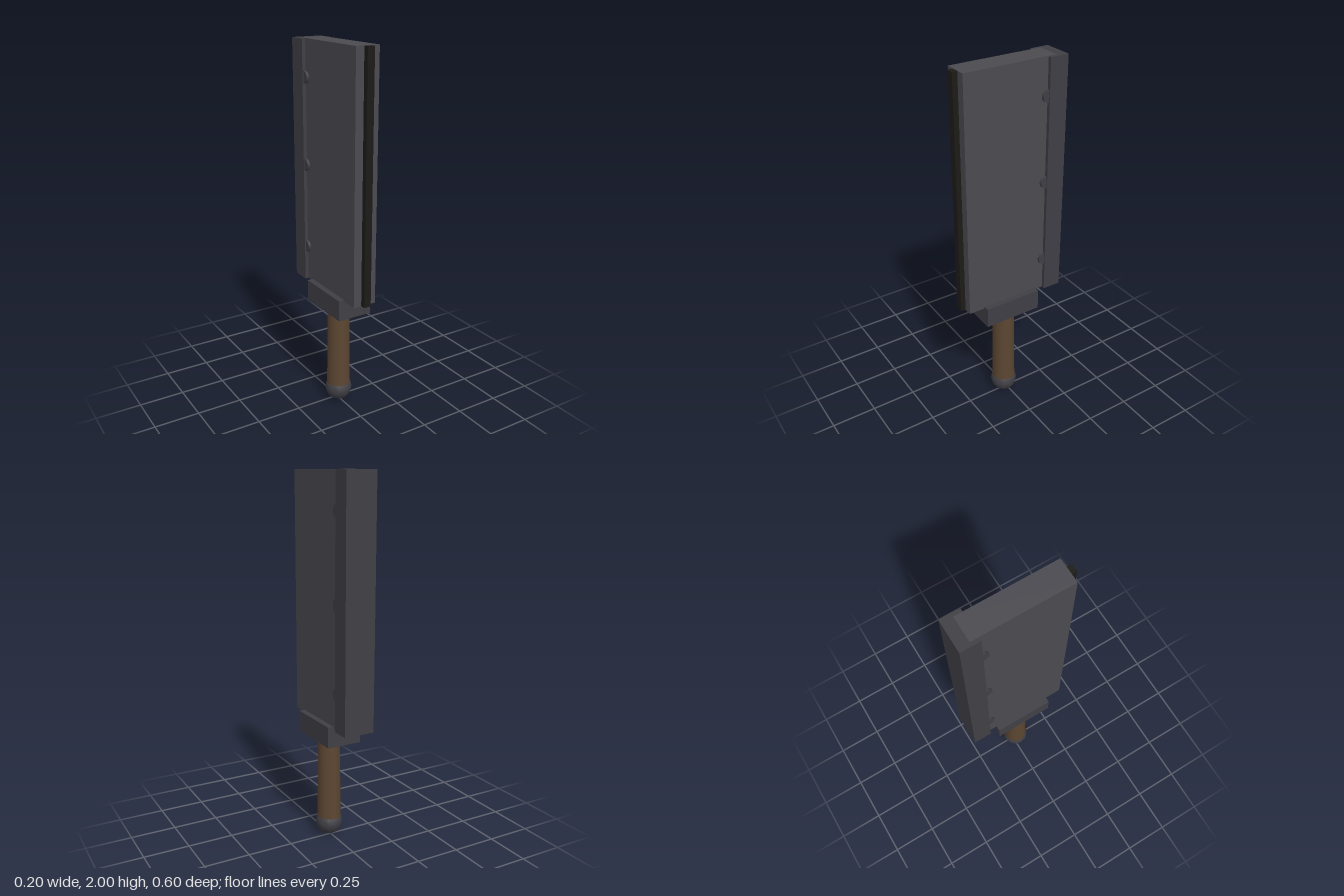
import * as THREE from 'three';

export function createModel() {
  const root = new THREE.Group();
  const mat = (color) => new THREE.MeshStandardMaterial({ color });
  const steel = mat(0x4a4a50), darkSteel = mat(0x3f3f45), edgeBlack = mat(0x1c1b18), wood = mat(0x5c4632);

  function add(name, geometry, material, x, y, z) {
    const mesh = new THREE.Mesh(geometry, material);
    mesh.name = name;
    mesh.position.set(x, y, z);
    root.add(mesh);
    return mesh;
  }
  // box given by full width and its y and z ranges
  const addBox = (name, material, w, y0, y1, z0, z1) =>
    add(name, new THREE.BoxGeometry(w, y1 - y0, z1 - z0), material, 0, (y0 + y1) / 2, (z0 + z1) / 2);

  // slab blade with a dark cutting strip in front and a thick spine behind
  addBox('blade', steel, 0.132, 0.685, 2, -0.242, 0.272);
  addBox('cuttingEdge', edgeBlack, 0.04, 0.686, 1.999, 0.26, 0.3);
  addBox('spine', darkSteel, 0.17, 0.684, 1.998, -0.3, -0.197);

  // rivets running through blade and spine
  for (const y of [0.88, 1.343, 1.805]) {
    const rivet = add('rivet', new THREE.CylinderGeometry(0.033, 0.033, 0.16, 16), darkSteel, 0, y, -0.196);
    rivet.rotation.z = Math.PI / 2;
  }

  // guard, tapered grip and rounded pommel
  addBox('guard', darkSteel, 0.197, 0.58, 0.695, -0.149, 0.181);
  add('grip', new THREE.CylinderGeometry(0.06, 0.066, 0.5, 16), wood, 0, 0.335, 0.018);
  add('pommel', new THREE.SphereGeometry(0.075, 12, 8), darkSteel, 0, 0.075, 0.018);
  return root;
}
